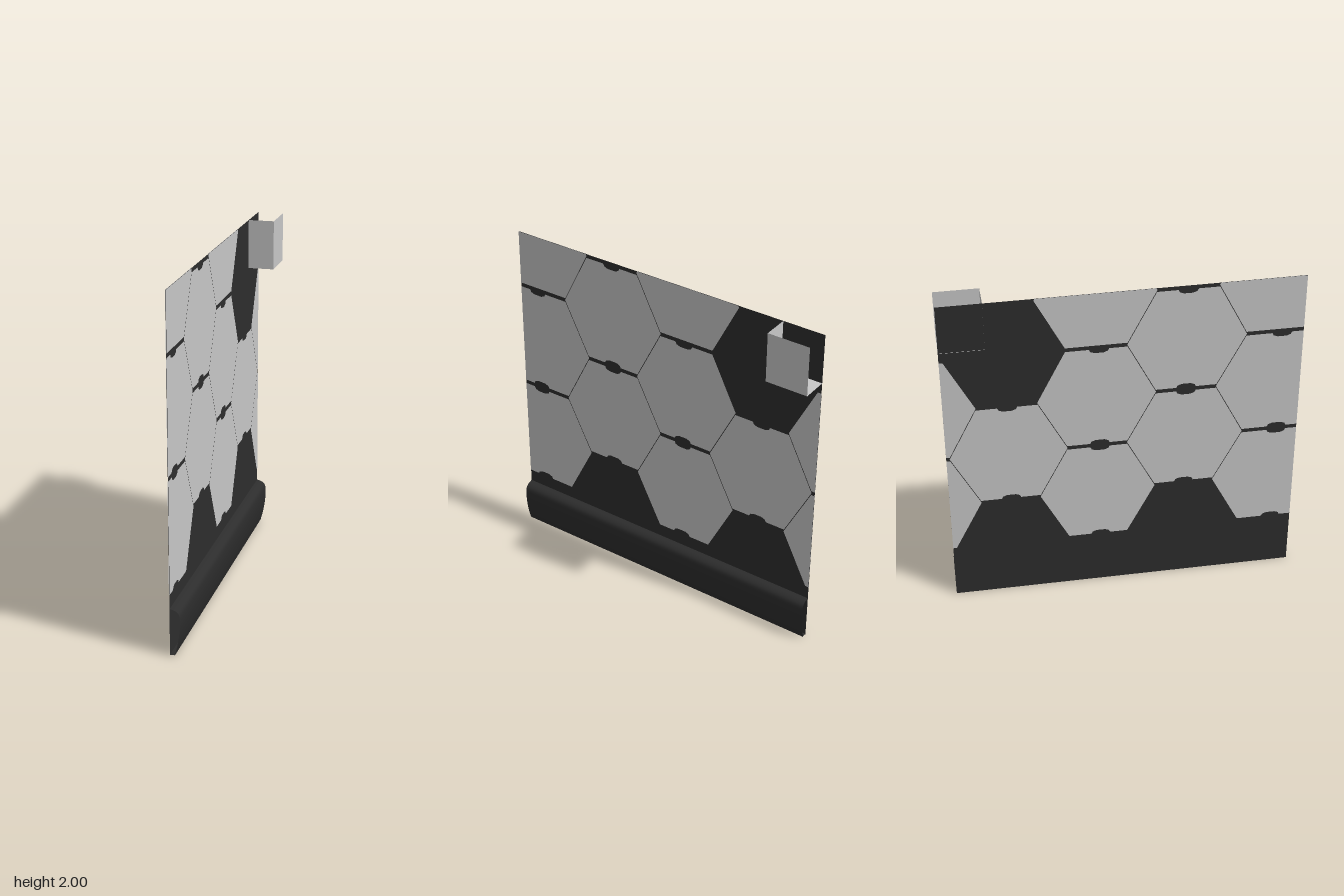
import * as THREE from 'three';

const PANEL_X = -0.077; // plane of the backing sheet
const SKIN = 0.002;     // how far the tiles sit off the sheet

const mat = (name, color) => {
  const m = new THREE.MeshStandardMaterial({ color, side: THREE.DoubleSide });
  m.name = name;
  return m;
};

// Keep the part of a polygon where f(point) >= 0
function clip(points, f) {
  const out = [];
  points.forEach((a, i) => {
    const b = points[(i + 1) % points.length];
    const fa = f(a), fb = f(b);
    if (fa >= 0) out.push(a);
    if (fa * fb < 0) out.push(a.clone().lerp(b, fa / (fa - fb)));
  });
  return out;
}

// Flat-topped hexagon in (z, y), with small grip notches in its lower and upper edges
function hexTile(cz, cy, notchZ, lowNotch, highNotch) {
  const hw = 0.171, tip = 0.331, hh = 0.318;
  const notch = [[-0.055, 0], [-0.048, 0.015], [-0.025, 0.024], [0.025, 0.024], [0.048, 0.015], [0.055, 0]];
  const pts = [[cz - hw, cy - hh]];
  if (lowNotch) notch.forEach(([u, d]) => pts.push([notchZ + u, cy - hh + d]));
  pts.push([cz + hw, cy - hh], [cz + tip, cy], [cz + hw, cy + hh]);
  if (highNotch) notch.forEach(([u, d]) => pts.push([notchZ - u, cy + hh - d]));
  pts.push([cz - hw, cy + hh], [cz - tip, cy]);
  let poly = pts.map(([u, v]) => new THREE.Vector2(u, v));
  poly = clip(poly, p => 1 - p.x);
  poly = clip(poly, p => p.x + 1);
  poly = clip(poly, p => 2 - p.y);
  return new THREE.Shape(poly);
}

export function createModel() {
  const light = mat('lightGrey', 0xc8c8c8);
  const dark = mat('charcoal', 0x2d2d2d);
  const group = new THREE.Group();
  const add = (name, geometry, material, x = 0, y = 0, z = 0) => {
    const mesh = new THREE.Mesh(geometry, material);
    mesh.name = name;
    mesh.position.set(x, y, z);
    group.add(mesh);
    return mesh;
  };

  // Dark backing sheet
  add('backingSheet', new THREE.PlaneGeometry(2, 2).rotateY(Math.PI / 2), dark, PANEL_X, 1, 0);

  // Columns of hexagonal tiles: centre z, notch z, lowest centre y, number of tiles
  const columns = [
    { z: 0.85, notch: 0.88, y: 0.67, count: 3 },
    { z: 0.35, notch: 0.35, y: 1.0, count: 2 },
    { z: -0.15, notch: -0.135, y: 0.67, count: 3 },
    { z: -0.65, notch: -0.647, y: 1.0, count: 1 },
    { z: -1.15, notch: null, y: 0.67, count: 2 },
  ];
  const shapes = [];
  for (const c of columns) {
    for (let i = 0; i < c.count; i++) {
      const notched = c.notch !== null;
      shapes.push(hexTile(c.z, c.y + i * 0.66, c.notch, notched && i < 2, notched && i < 2));
    }
  }
  for (const side of [1, -1]) {
    const tiles = new THREE.ShapeGeometry(shapes).rotateY(-Math.PI / 2);
    add(side > 0 ? 'tilesLeft' : 'tilesRight', tiles, light, PANEL_X + side * SKIN);
  }

  // Rounded skirting rail along the bottom, open at both ends
  const profile = new THREE.CatmullRomCurve3([
    [-0.076, 0.272], [-0.045, 0.262], [-0.026, 0.243], [-0.02, 0.2], [-0.023, 0.14], [-0.036, 0.06], [-0.052, 0],
  ].map(([x, y]) => new THREE.Vector3(x, y, 0)));
  const rows = 20;
  const rail = new THREE.PlaneGeometry(2, 1, 1, rows).rotateY(Math.PI / 2);
  const pos = rail.attributes.position;
  for (let i = 0; i < pos.count; i++) {
    const p = profile.getPoint(Math.floor(i / 2) / rows);
    pos.setXY(i, p.x, p.y);
  }
  rail.computeVertexNormals();
  add('skirtingRail', rail, dark);
  add('railUnderside', new THREE.PlaneGeometry(0.025, 2).rotateX(Math.PI / 2), dark, -0.0645, 0.005, 0);

  // Corner bracket: outer face, front face and floor, open elsewhere
  const w = 0.154, h = 0.29, d = 0.25;
  const cx = -0.002, cy = 1.855, cz = -0.875;
  add('bracketSide', new THREE.PlaneGeometry(d, h).rotateY(Math.PI / 2), light, cx + w / 2, cy, cz);
  add('bracketFront', new THREE.PlaneGeometry(w, h), light, cx, cy, cz + d / 2);
  add('bracketFloor', new THREE.PlaneGeometry(w, d).rotateX(Math.PI / 2), light, cx, cy - h / 2, cz);

  return group;
}
